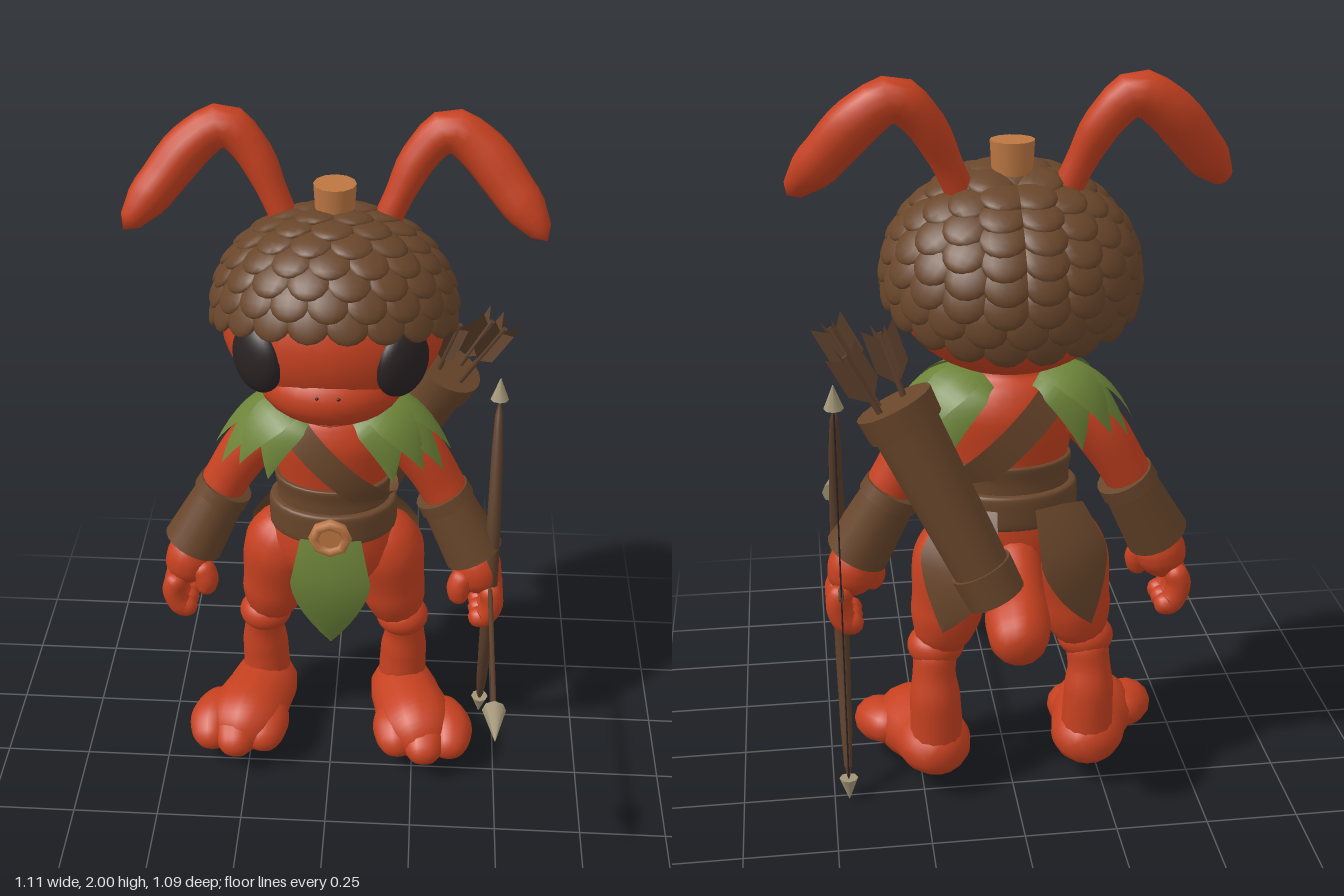
import * as THREE from 'three';
import { mergeGeometries, mergeVertices } from 'three/addons/utils/BufferGeometryUtils.js';

const V = (x, y, z) => new THREE.Vector3(x, y, z);

export function createModel() {
  const root = new THREE.Group();
  root.name = 'acornArcher';
  const mat = (name, color, side = THREE.FrontSide) => {
    const m = new THREE.MeshStandardMaterial({ color, side });
    m.name = name;
    return m;
  };
  const red = mat('red skin', 0xc64120);
  const brown = mat('brown leather', 0x69462b, THREE.DoubleSide);
  const green = mat('green leaf', 0x6d8439, THREE.DoubleSide);
  const tan = mat('light wood', 0xbd7743);
  const dark = mat('dark eye', 0x2a2224);
  const wood = mat('bow wood', 0x5c3f2b, THREE.DoubleSide);
  const bone = mat('arrowhead bone', 0xa39678);

  const add = (name, geo, material, pos = [0, 0, 0], scale = [1, 1, 1], parent = root) => {
    const m = new THREE.Mesh(geo, material);
    m.name = name;
    m.position.set(...pos);
    m.scale.set(...scale);
    parent.add(m);
    return m;
  };
  const ball = (name, material, pos, scale) => add(name, new THREE.SphereGeometry(1, 28, 20), material, pos, scale);

  // Round-ended tube whose radius changes along a smooth path
  const limb = (name, material, pts, radii, rule) => {
    const n = 24, sides = 14, curve = new THREE.CatmullRomCurve3(pts.map(p => V(...p)));
    const len = curve.getLength(), g = new THREE.TubeGeometry(curve, n, 1, sides);
    const p = g.attributes.position, v = V();
    const cap = (d, r) => (d < r ? Math.sqrt(Math.max(0, 1 - (1 - d / r) ** 2)) : 1);
    for (let i = 0; i <= n; i++) {
      const t = i / n, c = curve.getPointAt(t), f = t * (radii.length - 1);
      const k = Math.min(Math.floor(f), radii.length - 2);
      const r = THREE.MathUtils.lerp(radii[k], radii[k + 1], THREE.MathUtils.smoothstep(f - k, 0, 1))
        * cap(t * len, radii[0]) * cap((1 - t) * len, radii.at(-1));
      for (let j = 0; j <= sides; j++) {
        const q = i * (sides + 1) + j;
        v.fromBufferAttribute(p, q).sub(c).multiplyScalar(r).add(c);
        if (rule) rule(v);
        p.setXYZ(q, v.x, v.y, v.z);
      }
    }
    g.deleteAttribute('uv');
    g.deleteAttribute('normal');
    const merged = mergeVertices(g, 1e-5);
    merged.computeVertexNormals();
    return add(name, merged, material);
  };

  // Pointed, ridged leaf along a bent line, facing the given direction
  const leaf = (name, material, a, b, c, width, facing) => {
    const curve = new THREE.QuadraticBezierCurve3(V(...a), V(...b), V(...c));
    const g = new THREE.PlaneGeometry(1, 1, 2, 10), p = g.attributes.position;
    for (let i = 0; i < p.count; i++) {
      const t = 0.5 - p.getY(i), u = p.getX(i);
      const tan3 = curve.getTangent(t), side = V(...facing).cross(tan3).normalize();
      const out = tan3.clone().cross(side).normalize();
      const w = t < 0.4 ? 0.75 + 0.25 * t / 0.4 : 1 - ((t - 0.4) / 0.6) ** 1.6;
      const q = curve.getPoint(t).addScaledVector(side, u * width * w)
        .addScaledVector(out, (0.5 - Math.abs(u)) * 0.2 * width * w);
      p.setXYZ(i, q.x, q.y, q.z);
    }
    g.computeVertexNormals();
    return add(name, g, material);
  };

  // Cylinder between two points
  const rod = (name, material, a, b, ra, rb, sides = 20) => {
    const p = V(...a), d = V(...b).sub(p);
    const m = add(name, new THREE.CylinderGeometry(rb, ra, d.length(), sides), material);
    m.position.copy(p).addScaledVector(d, 0.5);
    m.quaternion.setFromUnitVectors(V(0, 1, 0), d.normalize());
    return m;
  };

  // Head and face
  ball('head', red, [0, 1.455, -0.17], [0.3, 0.237, 0.265]);
  ball('muzzle', red, [0, 1.335, -0.085], [0.2, 0.115, 0.19]);
  const smile = [-2, -1, 0, 1, 2].map(i => V(i * 0.045, 1.262 + i * i * 0.006, 0.061 - i * i * 0.007));
  add('mouth', new THREE.TubeGeometry(new THREE.CatmullRomCurve3(smile), 16, 0.004, 6), red);
  for (const s of [-1, 1]) {
    const eye = ball('eye', dark, [s * 0.187, 1.432, 0.012], [0.085, 0.096, 0.045]);
    eye.rotation.y = s * 0.75;
    ball('nostril', dark, [s * 0.028, 1.365, 0.098], [0.005, 0.004, 0.004]);
    limb('ear', red, [[s * 0.11, 1.65, -0.235], [s * 0.16, 1.77, -0.25], [s * 0.22, 1.885, -0.275], [s * 0.29, 1.945, -0.285],
      [s * 0.37, 1.9, -0.275], [s * 0.46, 1.8, -0.235], [s * 0.55, 1.695, -0.175]], [0.036, 0.038, 0.048, 0.056, 0.062, 0.057, 0.026]);
  }

  // Acorn cap made of overlapping scales
  const cap = new THREE.Group();
  cap.name = 'acornCap';
  cap.position.set(0, 1.48, -0.19);
  cap.rotation.x = -0.34;
  root.add(cap);
  add('capDome', new THREE.SphereGeometry(1, 32, 16, 0, Math.PI * 2, 0, 1.62), brown, [0, 0, 0], [0.314, 0.263, 0.298], cap);
  const scales = [], o = new THREE.Object3D();
  for (let row = 0; row < 8; row++) {
    const th = 0.2 + row * 0.193, count = Math.max(5, Math.round(20 * Math.sin(th)));
    for (let i = 0; i < count; i++) {
      const a = (i + (row % 2) / 2) / count * Math.PI * 2;
      const n = V(Math.sin(th) * Math.sin(a), Math.cos(th), Math.sin(th) * Math.cos(a));
      o.position.set(n.x * 0.312, n.y * 0.263, n.z * 0.296);
      o.lookAt(V(n.x / 0.312, n.y / 0.263, n.z / 0.296).add(o.position));
      o.rotateX(-0.2);
      o.scale.set(0.06, 0.06, 0.019);
      o.updateMatrix();
      scales.push(new THREE.SphereGeometry(1, 12, 8).applyMatrix4(o.matrix));
    }
  }
  add('capScales', mergeGeometries(scales), brown, [0, 0, 0], [1, 1, 1], cap);
  add('capStem', new THREE.CylinderGeometry(0.056, 0.05, 0.1, 12), tan, [0, 1.775, -0.21]);

  // Torso, waist wrap, belt and shoulder strap
  const turned = (name, material, pts, depth) => add(name, new THREE.LatheGeometry(
    new THREE.SplineCurve(pts.map(p => new THREE.Vector2(...p))).getPoints(30), 28), material, [0, 0, -0.16], [1, 1, depth]);
  turned('torso', red, [[0.001, 0.58], [0.1, 0.61], [0.17, 0.7], [0.172, 0.8], [0.15, 0.88], [0.15, 0.95], [0.168, 1.05],
    [0.17, 1.12], [0.13, 1.185], [0.08, 1.22], [0.075, 1.3]], 0.7);
  turned('waistWrap', brown, [[0.165, 0.86], [0.16, 0.93], [0.166, 0.975], [0.152, 0.98]], 0.74);
  turned('belt', brown, [[0.16, 0.805], [0.18, 0.812], [0.183, 0.855], [0.18, 0.898], [0.16, 0.905]], 0.76);
  const strap = add('strap', new THREE.CylinderGeometry(1, 1, 0.085, 32, 1, true), brown, [0.01, 1.05, -0.16], [0.205, 1, 0.131]);
  strap.rotation.z = -Math.PI / 4;
  add('buckleRim', new THREE.TorusGeometry(0.046, 0.016, 8, 8), tan, [0, 0.85, -0.006]);
  const plate = add('bucklePlate', new THREE.CylinderGeometry(0.046, 0.046, 0.04, 16), tan, [0, 0.85, -0.02]);
  plate.rotation.x = Math.PI / 2;

  // Loincloth, hip flaps and tail
  leaf('loincloth', green, [0, 0.83, -0.025], [0, 0.66, 0.02], [0, 0.44, -0.05], 0.23, [0, 0, 1]);
  for (const s of [-1, 1])
    leaf('hipFlap', brown, [s * 0.12, 0.86, -0.26], [s * 0.16, 0.72, -0.36], [s * 0.2, 0.54, -0.33], 0.22, [s * 0.6, 0, -1]);
  limb('tail', red, [[0, 0.74, -0.2], [0, 0.68, -0.3], [0.01, 0.62, -0.4], [0.02, 0.57, -0.54]], [0.07, 0.07, 0.085, 0.07]);

  for (const s of [-1, 1]) {
    // Leaf mantle fanned over each shoulder
    for (let i = 0; i < 7; i++) {
      const a = -1.4 + i * 0.467, c = Math.cos(a), d = Math.sin(a), lift = (i % 2) * 0.01;
      leaf('mantleLeaf', green, [s * (0.075 + 0.02 * c), 1.215 + lift, -0.16 + d * 0.05],
        [s * (0.13 + 0.11 * c), 1.22 + lift, -0.16 + d * 0.13],
        [s * (0.14 + 0.19 * c), 1.03 + 0.03 * (i % 2), -0.16 + d * 0.14], 0.125, [s * c, 1, d]);
    }

    // Arm, cuff and curled hand
    limb('arm', red, [[s * 0.12, 1.12, -0.17], [s * 0.21, 1.07, -0.18], [s * 0.305, 0.93, -0.18], [s * 0.37, 0.79, -0.165]],
      [0.07, 0.072, 0.066, 0.055]);
    rod('cuff', brown, [s * 0.318, 0.885, -0.18], [s * 0.41, 0.71, -0.155], 0.074, 0.088);
    rod('cuffBand', brown, [s * 0.308, 0.903, -0.18], [s * 0.326, 0.87, -0.178], 0.08, 0.082);
    limb('palm', red, [[s * 0.395, 0.74, -0.155], [s * 0.42, 0.67, -0.15], [s * 0.435, 0.58, -0.15]], [0.05, 0.07, 0.062]);
    for (let f = 0; f < 3; f++) {
      const z = -0.193 + f * 0.044;
      limb('finger', red, [[s * 0.45, 0.63, z], [s * 0.468, 0.57, z], [s * 0.445, 0.515, z], [s * 0.4, 0.515, z]], [0.03, 0.034, 0.034, 0.028]);
    }
    limb('thumb', red, [[s * 0.39, 0.67, -0.12], [s * 0.368, 0.62, -0.105], [s * 0.375, 0.565, -0.1]], [0.034, 0.034, 0.026]);

    // Leg with a thick thigh, knee and calf
    limb('thigh', red, [[s * 0.12, 0.82, -0.18], [s * 0.155, 0.68, -0.195], [s * 0.175, 0.55, -0.2], [s * 0.2, 0.41, -0.21]],
      [0.08, 0.112, 0.098, 0.066]);
    ball('knee', red, [s * 0.207, 0.435, -0.2], [0.078, 0.06, 0.074]);
    limb('shin', red, [[s * 0.205, 0.46, -0.21], [s * 0.215, 0.36, -0.225], [s * 0.214, 0.28, -0.235], [s * 0.212, 0.2, -0.235],
      [s * 0.215, 0.1, -0.235]], [0.062, 0.059, 0.07, 0.072, 0.085]);

    // Splayed foot with a high instep and three toes
    const sole = v => { v.y = Math.max(0.056, 0.12 + (v.y - 0.12) * 0.85); };
    limb('foot', red, [[s * 0.2, 0.12, -0.325], [s * 0.22, 0.135, -0.2], [s * 0.26, 0.12, -0.07], [s * 0.285, 0.08, 0.05]],
      [0.08, 0.105, 0.118, 0.08], sole);
    [[0.205, 0.035], [0.285, 0.065], [0.36, 0.035]].forEach(([x, z]) =>
      limb('toe', red, [[s * (0.25 + (x - 0.28) * 0.6), 0.14, -0.15], [s * (x - 0.003), 0.12, z - 0.09], [s * x, 0.075, z + 0.015]],
        [0.06, 0.073, 0.05], sole));
  }

  // Quiver slung across the back, with spare arrows
  const top = V(0.31, 1.2, -0.36), bottom = V(0.07, 0.7, -0.44);
  const along = t => bottom.clone().lerp(top, t).toArray();
  rod('quiver', brown, along(0.02), along(0.98), 0.072, 0.088);
  rod('quiverBase', brown, along(0), along(0.16), 0.078, 0.082);
  rod('quiverRim', brown, along(0.9), along(1.02), 0.098, 0.102);
  const vane = new THREE.Shape([[0, 0], [0.046, 0.05], [0.046, 0.16], [0, 0.12], [-0.046, 0.16], [-0.046, 0.05]]
    .map(p => new THREE.Vector2(...p)));
  [[-0.035, 0.02, 0.21], [0.035, 0.04, 0.24], [0.03, -0.035, 0.19]].forEach(([x, z, h]) => {
    const base = V(0.31 + x, 1.18, -0.36 + z), tip = base.clone().add(V(0.4 + x * 3, 0.88, 0.13 + z * 2).normalize().multiplyScalar(h));
    const shaft = rod('spareArrow', wood, base.toArray(), tip.toArray(), 0.008, 0.008, 8);
    for (const turn of [0, Math.PI / 2])
      add('fletching', new THREE.ShapeGeometry(vane), wood, [0, h / 2 - 0.14, 0], [1, 1, 1], shaft).rotation.y = turn + 0.4;
  });

  // Bow, string and nocked arrow
  limb('bow', wood, [[0.46, 1.17, -0.262], [0.46, 1.02, -0.205], [0.46, 0.82, -0.14], [0.46, 0.61, -0.115],
    [0.46, 0.4, -0.14], [0.46, 0.2, -0.205], [0.46, 0.05, -0.262]], [0.01, 0.017, 0.02, 0.022, 0.02, 0.017, 0.01]);
  rod('bowString', dark, [0.46, 0.05, -0.265], [0.46, 1.17, -0.265], 0.0025, 0.0025, 6);
  rod('upperBowTip', bone, [0.46, 1.165, -0.262], [0.46, 1.23, -0.267], 0.026, 0.001, 8);
  rod('lowerBowTip', bone, [0.46, 0.065, -0.262], [0.46, 0, -0.267], 0.026, 0.001, 8);
  rod('arrowShaft', wood, [0.46, 0.622, -0.27], [0.46, 0.622, 0.44], 0.007, 0.007, 8);
  rod('arrowHead', bone, [0.46, 0.622, 0.425], [0.46, 0.622, 0.545], 0.032, 0.001, 8);
  return root;
}
